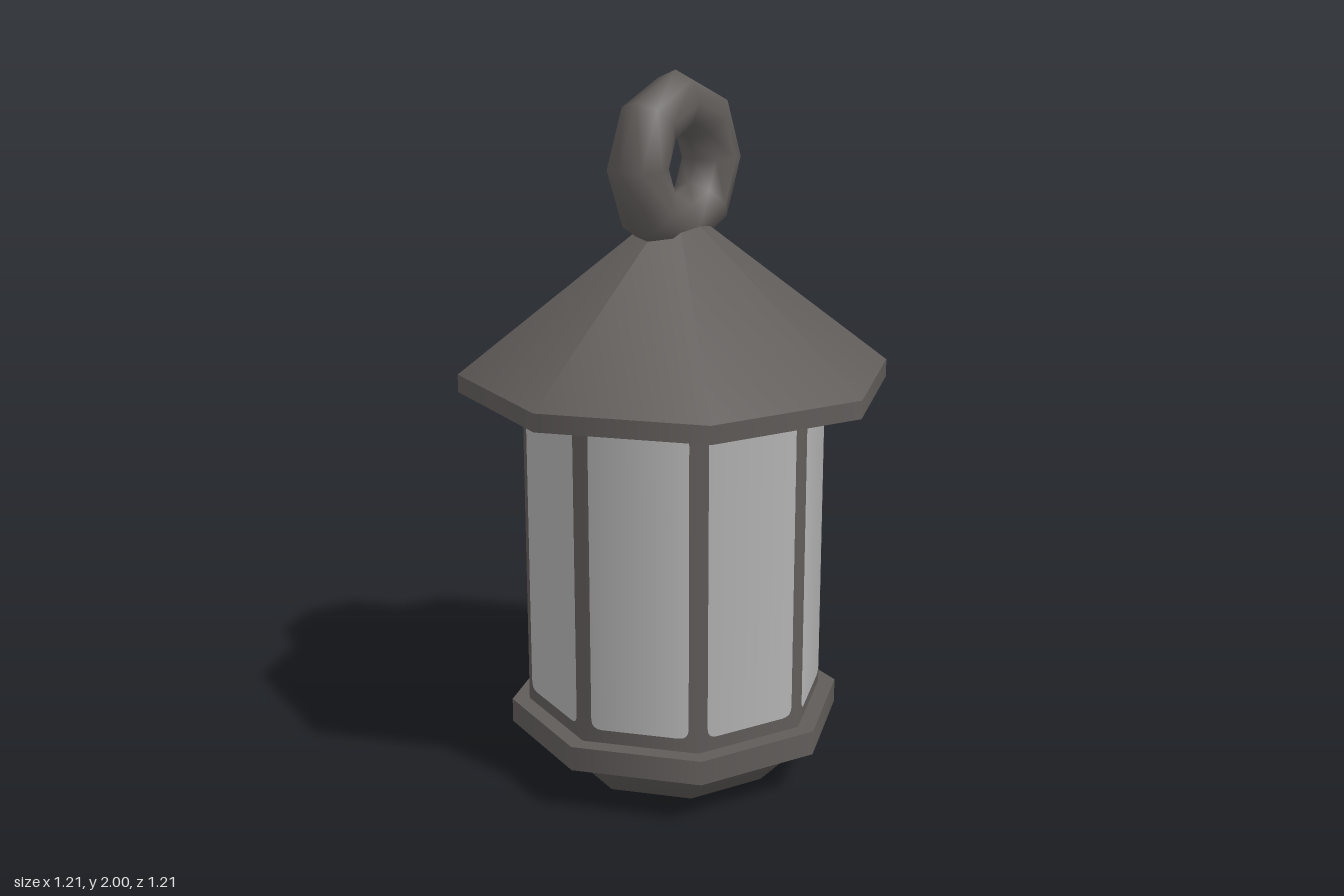
import * as THREE from 'three';

const SIDES = 8;
const BODY_R = 0.43;

export function createModel() {
  const lantern = new THREE.Group();
  lantern.name = 'lantern';
  const iron = new THREE.MeshStandardMaterial({ color: 0x605c5a });
  iron.name = 'dark iron';
  const glass = new THREE.MeshStandardMaterial({ color: 0xb2b2b2 });
  glass.name = 'pale glass';

  const add = (name, geometry, material, y = 0) => {
    const mesh = new THREE.Mesh(geometry, material);
    mesh.name = name;
    mesh.position.y = y;
    lantern.add(mesh);
    return mesh;
  };
  // Octagonal drum between two heights, corners on the axes
  const drum = (name, radius, y0, y1) =>
    add(name, new THREE.CylinderGeometry(radius, radius, y1 - y0, SIDES), iron, (y0 + y1) / 2);

  // Tapered foot, shaded smoothly into its underside
  const footProfile = [[0, 0], [0.305, 0], [BODY_R, 0.13]].map(([r, y]) => new THREE.Vector2(r, y));
  add('foot', new THREE.LatheGeometry(footProfile, SIDES), iron);

  drum('baseFlange', 0.48, 0.13, 0.2);
  drum('body', BODY_R, 0.2, 1.13);
  drum('roofRim', 0.607, 1.13, 1.18);

  // Pointed roof; its tip sits inside the ring
  add('roof', new THREE.ConeGeometry(0.607, 0.47, SIDES, 1, true), iron, 1.18 + 0.235);

  // Hanging ring
  add('hangingRing', new THREE.TorusGeometry(0.167, 0.083, 8, 8), iron, 1.75).rotation.y = Math.PI / 2;

  // Window pane outline with small rounded corners
  const w = 0.138, bottom = 0.24, top = 1.105, c = 0.03;
  const pane = new THREE.Shape();
  pane.moveTo(-w + c, bottom);
  pane.lineTo(w - c, bottom);
  pane.quadraticCurveTo(w, bottom, w, bottom + c);
  pane.lineTo(w, top - c);
  pane.quadraticCurveTo(w, top, w - c, top);
  pane.lineTo(-w + c, top);
  pane.quadraticCurveTo(-w, top, -w, top - c);
  pane.lineTo(-w, bottom + c);
  pane.quadraticCurveTo(-w, bottom, -w + c, bottom);

  // One pane per side, with radial normals to match the smooth body
  const paneGeometry = new THREE.ShapeGeometry(pane, 4);
  paneGeometry.translate(0, 0, BODY_R * Math.cos(Math.PI / SIDES) + 0.004);
  const pos = paneGeometry.attributes.position;
  const n = new THREE.Vector3();
  for (let i = 0; i < pos.count; i++) {
    n.set(pos.getX(i), 0, pos.getZ(i)).normalize();
    paneGeometry.attributes.normal.setXYZ(i, n.x, n.y, n.z);
  }
  for (let i = 0; i < SIDES; i++) {
    add('windowPane' + (i + 1), paneGeometry, glass).rotation.y = ((i + 0.5) * 2 * Math.PI) / SIDES;
  }

  return lantern;
}
